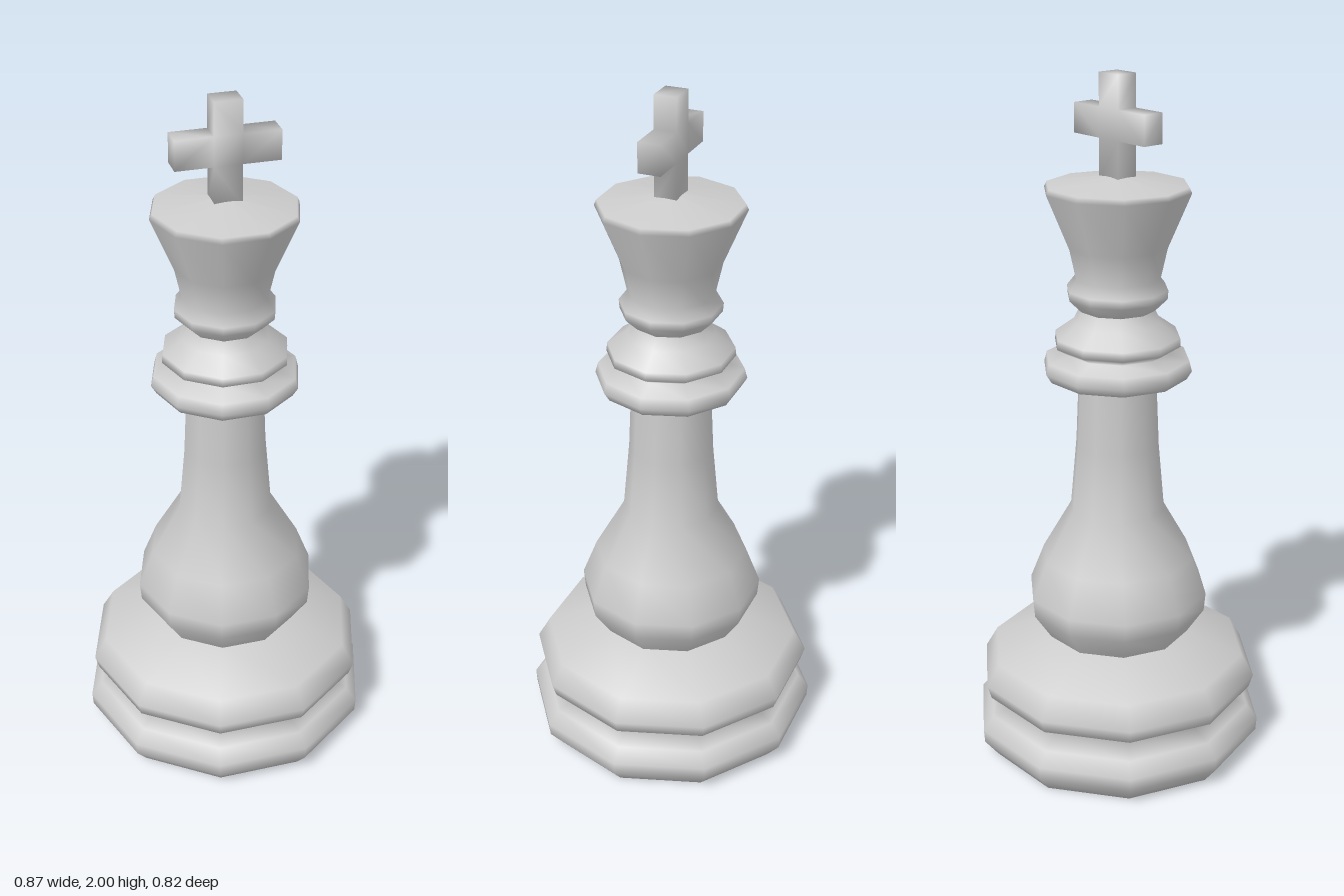
import * as THREE from 'three';
import { mergeVertices } from 'three/addons/utils/BufferGeometryUtils.js';

const SIDES = 10;

export function createModel() {
  const model = new THREE.Group();
  model.name = 'chessKing';
  const material = new THREE.MeshStandardMaterial({ color: 0xcccccc });

  const add = (name, geometry) => {
    const mesh = new THREE.Mesh(geometry, material);
    mesh.name = name;
    model.add(mesh);
    return mesh;
  };

  // Ten-sided turned part; profile is [radius, height] from bottom to top, a corner points to +x
  const turned = (name, profile) => add(name, new THREE.LatheGeometry(
    profile.map(([r, y]) => new THREE.Vector2(r, y)), SIDES, Math.PI / 2));

  // Double-ring foot
  turned('base', [
    [0, 0], [0.39, 0], [0.43, 0.05], [0.433, 0.09], [0.40, 0.13], [0.335, 0.155],
    [0.405, 0.195], [0.417, 0.235], [0.38, 0.3], [0.21, 0.36],
  ]);

  // Bulb and tapering stem
  turned('body', [
    [0.21, 0.355], [0.263, 0.435], [0.268, 0.49], [0.225, 0.6], [0.14, 0.75],
    [0.122, 0.95], [0.113, 1.16],
  ]);

  // Stacked rings under the head
  turned('collar', [
    [0.1, 1.155], [0.2, 1.155], [0.215, 1.18], [0.207, 1.21], [0.145, 1.228],
    [0.182, 1.25], [0.18, 1.275], [0.125, 1.315], [0.108, 1.35],
  ]);

  // Neck ring and flared crown with a shallow cone on top
  turned('crown', [
    [0.108, 1.35], [0.143, 1.385], [0.145, 1.41], [0.122, 1.44], [0.142, 1.53],
    [0.207, 1.685], [0.2, 1.7], [0, 1.73],
  ]);

  // Cross finial with softened normals
  const a = 0.039, w = 0.144, low = 1.825, high = 1.908;
  const right = [[a, 1.71], [a, low], [w, low], [w, high], [a, high], [a, 2]];
  const left = right.map(([x, y]) => [-x, y]).reverse();
  const shape = new THREE.Shape([...right, ...left].map(([x, y]) => new THREE.Vector2(x, y)));
  let cross = new THREE.ExtrudeGeometry(shape, { depth: 0.064, bevelEnabled: false });
  cross.translate(0, 0, -0.032);
  cross.deleteAttribute('normal');
  cross.deleteAttribute('uv');
  cross = mergeVertices(cross);
  cross.computeVertexNormals();
  add('crossFinial', cross);

  return model;
}
